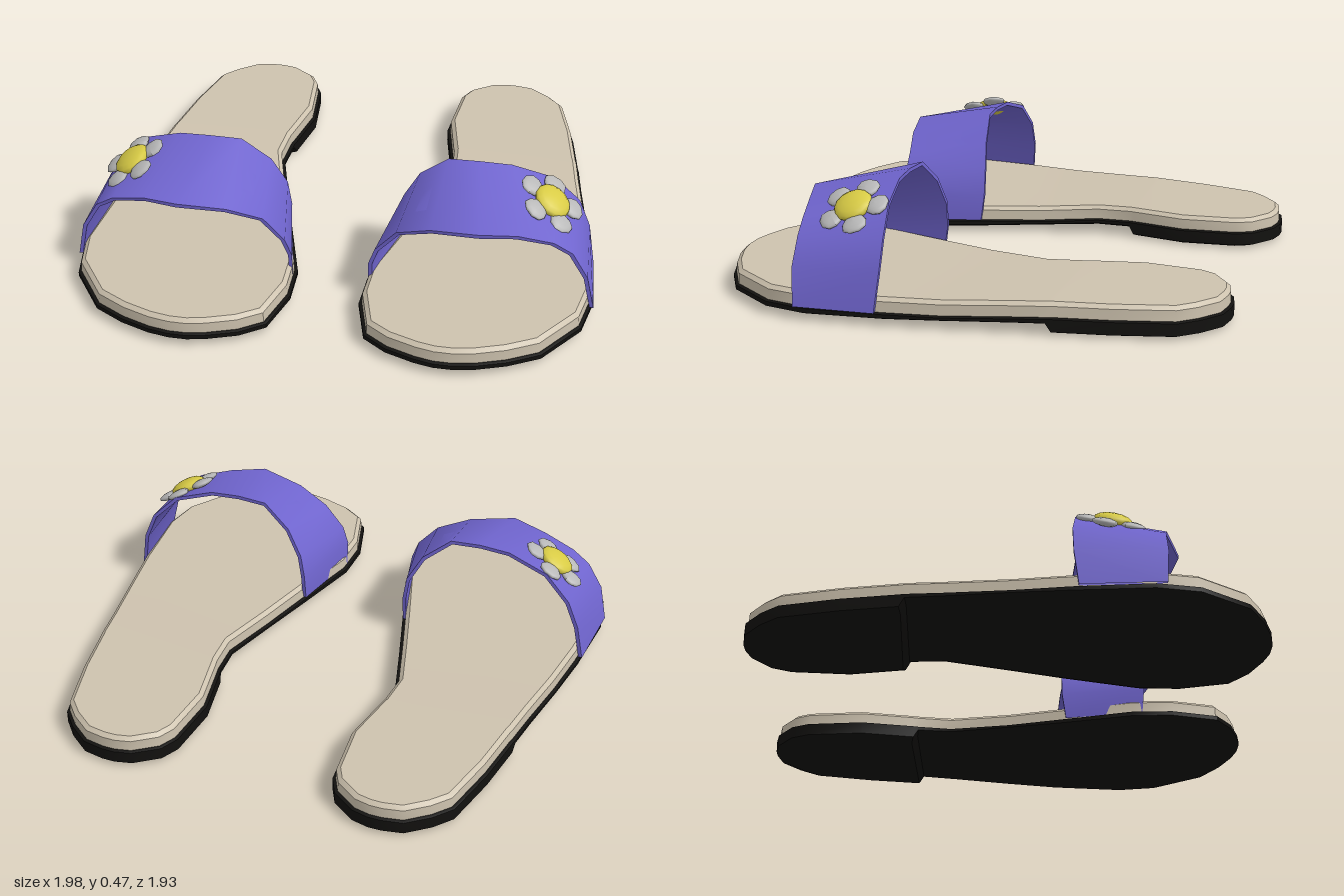
import * as THREE from 'three';
import { toCreasedNormals } from 'three/addons/utils/BufferGeometryUtils.js';

const material = (color, side = THREE.FrontSide) => new THREE.MeshStandardMaterial({ color, side });

function mesh(name, geometry, mat) {
  const m = new THREE.Mesh(geometry, mat);
  m.name = name;
  return m;
}

// Skins equal-length point lists given as [x, y, z]; quads are listed by index.
function fromQuads(points, quads, crease) {
  const g = new THREE.BufferGeometry();
  g.setAttribute('position', new THREE.Float32BufferAttribute(points.flat(), 3));
  g.setIndex(quads.flatMap(([a, b, c, d]) => [a, b, c, a, c, d]));
  return toCreasedNormals(g, crease);
}

// Footprint rows from heel to toe: z, inner x, outer x
const rows = [
  [-0.97, 0.50, 0.55], [-0.955, 0.435, 0.63], [-0.89, 0.345, 0.715], [-0.82, 0.31, 0.775],
  [-0.60, 0.29, 0.83], [-0.39, 0.33, 0.865], [-0.37, 0.335, 0.87], [-0.235, 0.345, 0.89],
  [0, 0.28, 0.93], [0.21, 0.22, 0.96], [0.50, 0.135, 0.985], [0.66, 0.13, 0.955],
  [0.845, 0.18, 0.825], [0.91, 0.27, 0.71], [0.95, 0.38, 0.60], [0.965, 0.45, 0.52],
];
const outline = [
  ...rows.map(([z, xi]) => [xi, z]),
  ...rows.map(([z, , xo]) => [xo, z]).reverse(),
];

// Heights along the foot; the underside steps down at the heel
const heelRise = (z) => THREE.MathUtils.clamp(-z / 0.38, 0, 1);
const bottomY = (z) => (z < -0.38 ? 0 : 0.015 + 0.018 * THREE.MathUtils.clamp((0.3 - z) / 0.68, 0, 1));
const seamY = (z) => 0.05 + 0.015 * heelRise(z);
const topY = (z) => 0.104 + 0.015 * heelRise(z);

// Stacks inset copies of the footprint, each [inset, height rule], and caps both ends
function slab(layers) {
  const n = outline.length, points = [], quads = [];
  for (const [inset, height] of layers) {
    outline.forEach(([x, z], i) => {
      const [px, pz] = outline[(i + n - 1) % n], [qx, qz] = outline[(i + 1) % n];
      const len = Math.hypot(qx - px, qz - pz);
      points.push([x + inset * (qz - pz) / len, height(z), z - inset * (qx - px) / len]);
    });
  }
  for (let k = 0; k < layers.length - 1; k++) {
    for (let i = 0; i < n; i++) {
      const a = k * n + i, b = k * n + (i + 1) % n;
      quads.push([a, b, b + n, a + n]);
    }
  }
  const t = (layers.length - 1) * n;
  for (let i = 0; i < n / 2 - 1; i++) {
    quads.push([t + i, t + i + 1, t + n - 2 - i, t + n - 1 - i]);
    quads.push([n - 1 - i, n - 2 - i, i + 1, i]);
  }
  return fromQuads(points, quads, 0.6);
}

// Strap stations across the foot: back edge x, y, z, then front edge x, y, z
const stations = [
  [0.215, 0.05, 0.235, 0.145, 0.05, 0.54],
  [0.215, 0.16, 0.22, 0.145, 0.15, 0.55],
  [0.23, 0.26, 0.22, 0.17, 0.22, 0.555],
  [0.29, 0.37, 0.235, 0.25, 0.31, 0.56],
  [0.40, 0.46, 0.255, 0.38, 0.36, 0.595],
  [0.52, 0.465, 0.26, 0.56, 0.385, 0.63],
  [0.64, 0.46, 0.255, 0.70, 0.37, 0.59],
  [0.80, 0.41, 0.235, 0.83, 0.335, 0.56],
  [0.90, 0.31, 0.22, 0.90, 0.29, 0.55],
  [0.945, 0.20, 0.22, 0.96, 0.19, 0.55],
  [0.97, 0.05, 0.235, 0.99, 0.05, 0.54],
];

function strapGeometry() {
  const points = [], quads = [], thickness = 0.015;
  const inward = ([x, y, z]) => {
    const dx = 0.55 - x, dy = 0.1 - y, s = thickness / Math.hypot(dx, dy);
    return [x + dx * s, y + dy * s, z];
  };
  stations.forEach((s, i) => {
    const back = s.slice(0, 3), front = s.slice(3);
    points.push(back, front, inward(front), inward(back));
    if (i === stations.length - 1) return;
    for (let j = 0; j < 4; j++) {
      const a = i * 4 + j, b = i * 4 + (j + 1) % 4;
      quads.push([a, b, b + 4, a + 4]);
    }
  });
  return fromQuads(points, quads, 0.8);
}

// Rounded petal pointing to -z, widening outward
function petalGeometry() {
  const g = new THREE.SphereGeometry(1, 10, 8);
  const p = g.attributes.position;
  for (let i = 0; i < p.count; i++) {
    const z = p.getZ(i);
    p.setXYZ(i, p.getX(i) * 0.046 * (1 - 0.3 * z), p.getY(i) * 0.016, z * 0.05 - 0.087);
  }
  g.computeVertexNormals();
  return g;
}

function createFlower() {
  const flower = new THREE.Group();
  flower.name = 'flower';
  const petal = petalGeometry(), white = material(0xb8b8b8);
  for (let k = 0; k < 5; k++) {
    const m = mesh('petal', petal, white);
    m.rotation.y = k * Math.PI * 2 / 5;
    flower.add(m);
  }
  const centre = mesh('flowerCentre', new THREE.SphereGeometry(0.074, 14, 8), material(0xd8cb45));
  centre.scale.y = 0.4;
  centre.position.y = 0.008;
  flower.add(centre);
  // Lies on the outer slope of the strap
  flower.position.set(0.80, 0.386, 0.37);
  const normal = new THREE.Vector3(0.5, 0.83, 0.17).normalize();
  flower.quaternion.setFromUnitVectors(new THREE.Vector3(0, 1, 0), normal);
  return flower;
}

function createSandal(name) {
  const sandal = new THREE.Group();
  sandal.name = name;
  sandal.add(
    mesh('outsole', slab([
      [0.035, bottomY],
      [0, (z) => bottomY(z) + 0.014],
      [0, (z) => seamY(z) - 0.004],
      [0.01, seamY],
    ]), material(0x12110f)),
    mesh('footbed', slab([
      [0.012, seamY],
      [0.014, (z) => topY(z) - 0.014],
      [0.03, topY],
    ]), material(0xcdc2ae)),
    mesh('strap', strapGeometry(), material(0x7065cf, THREE.DoubleSide)),
    createFlower(),
  );
  return sandal;
}

export function createModel() {
  const model = new THREE.Group();
  model.name = 'sandals';
  const left = createSandal('leftSandal');
  const right = createSandal('rightSandal');
  right.scale.x = -1;
  model.add(left, right);
  return model;
}
